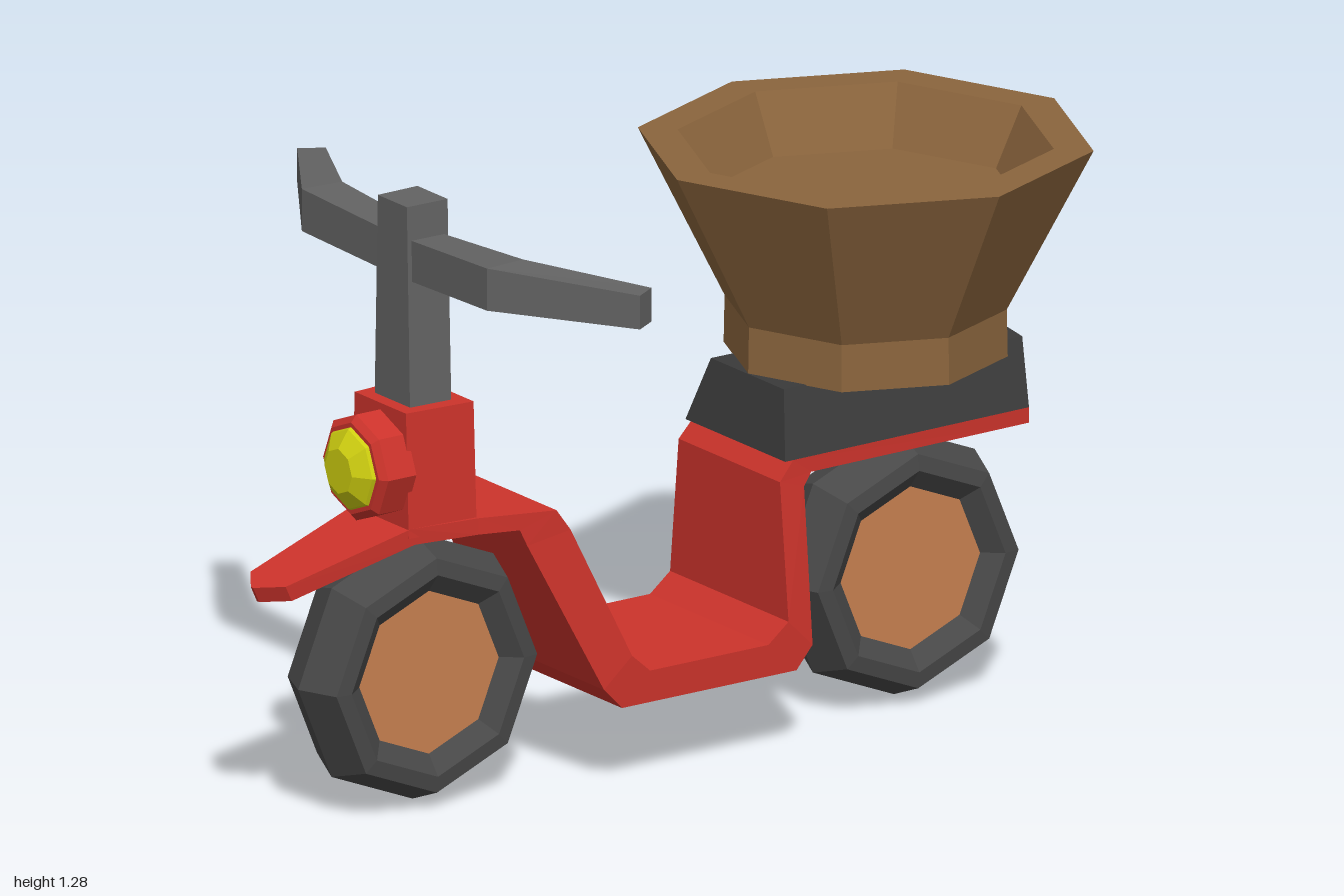
import * as THREE from 'three';

const mat = (color) => new THREE.MeshStandardMaterial({ color, flatShading: true });
const RED = mat(0xcc332b), TYRE = mat(0x484848), SEAT = mat(0x3a3a3a), METAL = mat(0x636363);
const WOOD = mat(0x8b653d), HUB = mat(0xc88050), LAMP = mat(0xcfcf10);

// Closed solid through a row of rings, each a list of [x, y, z]
function loft(rings) {
  const n = rings[0].length, last = rings.length - 1;
  const tris = [];
  for (let i = 0; i < last; i++) {
    for (let j = 0; j < n; j++) {
      const k = (j + 1) % n;
      const a = rings[i][j], b = rings[i][k], c = rings[i + 1][k], d = rings[i + 1][j];
      tris.push([a, b, c], [a, c, d]);
    }
  }
  for (let j = 1; j < n - 1; j++) {
    tris.push([rings[0][0], rings[0][j + 1], rings[0][j]]);
    tris.push([rings[last][0], rings[last][j], rings[last][j + 1]]);
  }
  // Turn the faces outward whichever way the rings run
  let volume = 0;
  for (const [a, b, c] of tris) {
    volume += new THREE.Vector3(...a).dot(new THREE.Vector3(...b).cross(new THREE.Vector3(...c)));
  }
  if (volume < 0) tris.forEach((t) => t.reverse());
  const geo = new THREE.BufferGeometry();
  geo.setAttribute('position', new THREE.Float32BufferAttribute(tris.flat(2), 3));
  geo.computeVertexNormals();
  return geo;
}

// Eight-sided turned shape from [radius, height] pairs
const turned = (profile) =>
  new THREE.LatheGeometry(profile.map(([r, h]) => new THREE.Vector2(r, h)), 8);

// Upright block with different half widths at front and back, bottom and top
function block(y0, y1, zBack, zFront, bottom, top) {
  const ring = (y, [wb, wf]) => [[-wb, y, zBack], [wb, y, zBack], [wf, y, zFront], [-wf, y, zFront]];
  return loft([ring(y0, bottom), ring(y1, top)]);
}

export function createModel() {
  const model = new THREE.Group();
  const add = (name, geo, material, parent = model) => {
    const mesh = new THREE.Mesh(geo, material);
    mesh.name = name;
    parent.add(mesh);
    return mesh;
  };

  // Bent body strip: [top y, top z, top half width, bottom y, bottom z, bottom half width]
  const strip = [
    [0.53, 1.0, 0.004, 0.497, 0.985, 0.004],
    [0.54, 0.96, 0.062, 0.507, 0.945, 0.062],
    [0.62, 0.675, 0.1, 0.585, 0.665, 0.1],
    [0.62, 0.52, 0.12, 0.585, 0.52, 0.12],
    [0.62, 0.36, 0.168, 0.585, 0.435, 0.145],
    [0.575, 0.33, 0.175, 0.55, 0.42, 0.15],
    [0.29, 0.2, 0.208, 0.23, 0.27, 0.208],
    [0.25, 0.155, 0.208, 0.183, 0.225, 0.208],
    [0.25, -0.14, 0.208, 0.183, -0.21, 0.208],
    [0.29, -0.19, 0.208, 0.23, -0.25, 0.208],
    [0.58, -0.19, 0.178, 0.56, -0.25, 0.178],
    [0.62, -0.225, 0.175, 0.587, -0.27, 0.175],
    [0.62, -0.82, 0.165, 0.587, -0.82, 0.165],
    [0.62, -0.875, 0.004, 0.587, -0.875, 0.004],
  ];
  add('body', loft(strip.map(([ty, tz, tw, by, bz, bw]) =>
    [[-tw, ty, tz], [tw, ty, tz], [bw, by, bz], [-bw, by, bz]])), RED);

  // Seat with sloping sides and a pointed tail
  const seatRing = (y, zFront, wFront, zCorner, wCorner, zTail) => [
    [-wFront, y, zFront], [wFront, y, zFront], [wCorner, y, zCorner], [0, y, zTail], [-wCorner, y, zCorner]];
  add('seat', loft([
    seatRing(0.62, -0.205, 0.175, -0.82, 0.165, -0.872),
    seatRing(0.757, -0.235, 0.128, -0.835, 0.12, -0.855),
  ]), SEAT);

  // Steering head and column
  add('steeringHead', block(0.6, 0.865, 0.52, 0.68, [0.113, 0.1], [0.102, 0.09]), RED);
  add('steeringColumn', block(0.86, 1.29, 0.55, 0.65, [0.066, 0.062], [0.053, 0.051]), METAL);

  // Handlebar swept back at both ends: [front x, front z, back x, back z, bottom y, top y]
  const half = [
    [0.05, 0.64, 0.05, 0.56, 1.13, 1.217],
    [0.325, 0.645, 0.317, 0.55, 1.14, 1.23],
    [0.602, 0.46, 0.572, 0.41, 1.138, 1.21],
  ];
  const barRing = (s) => ([fx, fz, bx, bz, y0, y1]) =>
    [[s * fx, y0, fz], [s * fx, y1, fz], [s * bx, y1, bz], [s * bx, y0, bz]];
  add('handlebar', loft([...[...half].reverse().map(barRing(-1)), ...half.map(barRing(1))]), METAL);

  // Headlight
  const headlight = new THREE.Group();
  headlight.name = 'headlight';
  headlight.position.set(0, 0.738, 0.67);
  headlight.rotation.x = Math.PI / 2;
  model.add(headlight);
  add('headlightHousing', turned([[0, 0], [0.113, 0], [0.113, 0.07], [0.098, 0.083], [0, 0.083]]), RED, headlight);
  add('headlightLens', turned([[0.09, 0.08], [0.085, 0.09], [0.048, 0.115], [0, 0.115]]), LAMP, headlight);

  // Wheels, each a crowned tyre around a recessed hub
  const tyreProfile = [[0.17, -0.055], [0.215, -0.09], [0.25, -0.086], [0.285, 0],
    [0.25, 0.086], [0.215, 0.09], [0.17, 0.055]];
  for (const [name, z] of [['frontWheel', 0.6], ['rearWheel', -0.6]]) {
    const wheel = new THREE.Group();
    wheel.name = name;
    wheel.position.set(0, 0.29, z);
    wheel.rotation.z = -Math.PI / 2;
    model.add(wheel);
    add('tyre', turned(tyreProfile), TYRE, wheel);
    add('hub', new THREE.CylinderGeometry(0.178, 0.178, 0.116, 8), HUB, wheel);
  }

  // Basket: flared outside, thick rim, shallow inside
  const basket = add('basket', turned([[0, 0.755], [0.293, 0.755], [0.291, 0.855], [0.47, 1.203],
    [0.388, 1.203], [0.325, 1.08], [0, 1.08]]), WOOD);
  basket.position.z = -0.53;

  return model;
}
